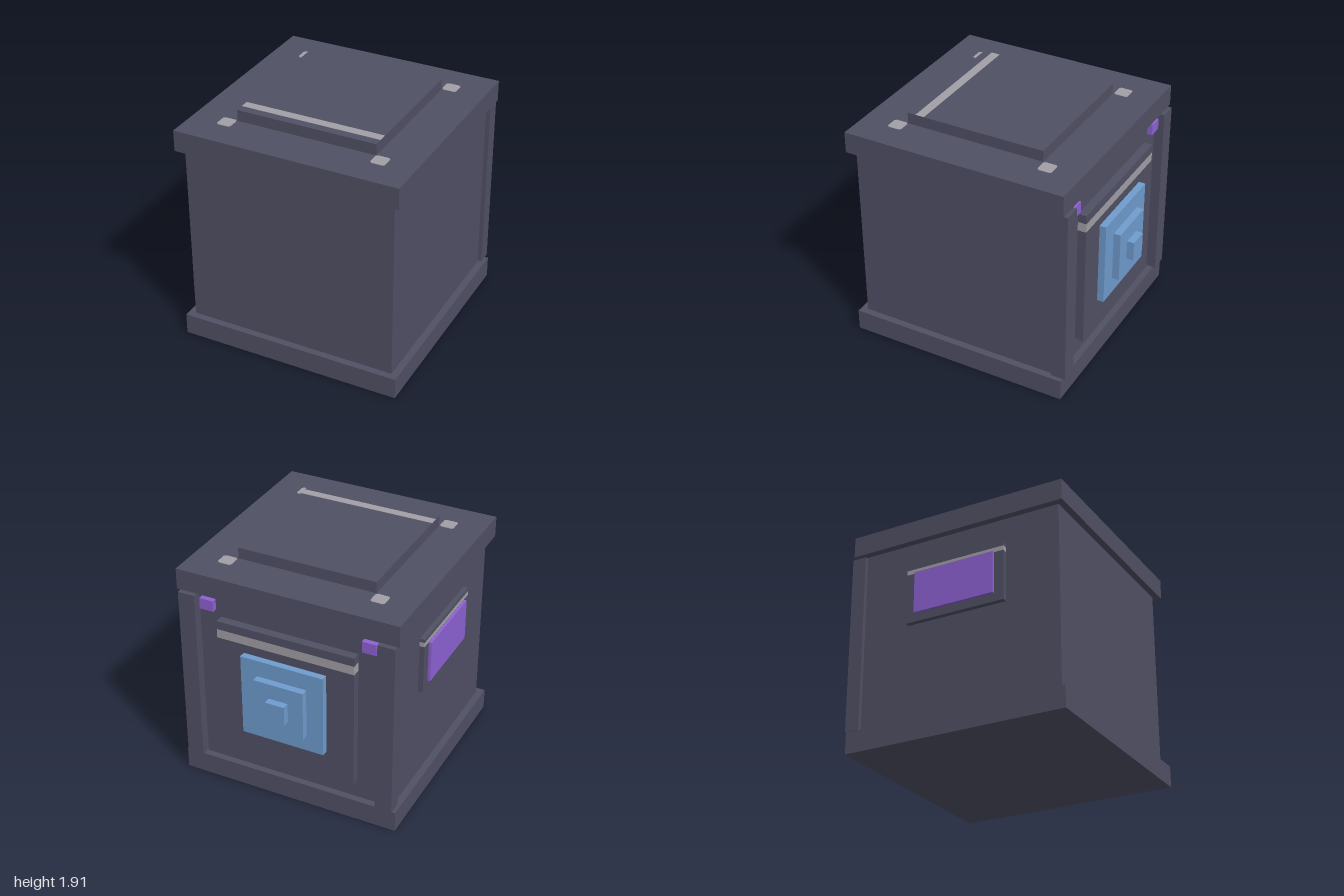
import * as THREE from 'three';

const mat = (name, color) => {
  const m = new THREE.MeshStandardMaterial({ color });
  m.name = name;
  return m;
};

export function createModel() {
  const group = new THREE.Group();
  const slate = mat('slate', 0x505065);
  const grey = mat('grey', 0xa29fa6);
  const blue = mat('blue', 0x6f9cce);
  const purple = mat('purple', 0x8e62d4);

  // Box given by its extents along each axis
  const box = (name, material, [x0, x1], [y0, y1], [z0, z1]) => {
    const mesh = new THREE.Mesh(new THREE.BoxGeometry(x1 - x0, y1 - y0, z1 - z0), material);
    mesh.position.set((x0 + x1) / 2, (y0 + y1) / 2, (z0 + z1) / 2);
    mesh.name = name;
    group.add(mesh);
  };

  // Main casing
  box('base', slate, [-0.908, 0.908], [0, 0.172], [-0.817, 1]);
  box('body', slate, [-0.852, 0.852], [0.172, 1.65], [-0.763, 0.945]);
  box('lid', slate, [-0.908, 0.908], [1.65, 1.82], [-0.817, 1]);

  // Raised top panel with a stripe on its upper face
  box('topPanel', slate, [-0.565, 0.57], [1.82, 1.91], [-0.477, 0.66]);
  box('topStripe', grey, [-0.565, 0.57], [1.908, 1.912], [0.52, 0.592]);

  // Small pads with clipped corners on the lid
  const h = 0.057, c = 0.043;
  const padShape = new THREE.Shape([
    [-c, -h], [c, -h], [h, -c], [h, c], [c, h], [-c, h], [-h, c], [-h, -c],
  ].map(([x, y]) => new THREE.Vector2(x, y)));
  const padGeometry = new THREE.ExtrudeGeometry(padShape, { depth: 0.004, bevelEnabled: false });
  padGeometry.rotateX(-Math.PI / 2);
  for (const x of [-0.625, 0.627]) for (const z of [-0.541, 0.715]) {
    const pad = new THREE.Mesh(padGeometry, grey);
    pad.name = 'lidPad';
    pad.position.set(x, 1.82, z);
    group.add(pad);
  }

  // Rear corner posts and the clips beside them
  for (const s of [-1, 1]) {
    const span = (a, b) => (s > 0 ? [a, b] : [-b, -a]);
    box('rearPost', slate, span(0.747, 0.886), [0.185, 1.64], [-0.842, -0.725]);
    box('rearClip', purple, span(0.61, 0.725), [1.52, 1.61], [-0.805, -0.76]);
  }

  // Rear panel, in bands so the stripe wraps its edges
  const rearX = [-0.565, 0.57], rearZ = [-0.832, -0.76];
  box('rearPanelLower', slate, rearX, [0.33, 1.325], rearZ);
  box('rearStripe', grey, rearX, [1.325, 1.398], rearZ);
  box('rearPanelUpper', slate, rearX, [1.398, 1.467], rearZ);

  // Stepped square nozzle on the rear panel
  box('nozzleBase', blue, [-0.34, 0.345], [0.57, 1.253], [-0.886, -0.83]);
  box('nozzleMiddle', blue, [-0.202, 0.207], [0.707, 1.117], [-0.943, -0.886]);
  box('nozzleTip', blue, [-0.077, 0.082], [0.83, 0.99], [-1, -0.943]);

  // Side panel with wrapping stripe and screen
  const sideX = [-0.892, -0.85], sideZ = [-0.33, 0.505];
  box('sidePanelLower', slate, sideX, [0.96, 1.368], sideZ);
  box('sideStripe', grey, sideX, [1.368, 1.405], sideZ);
  box('sidePanelUpper', slate, sideX, [1.405, 1.433], sideZ);
  box('sideScreen', purple, [-0.915, -0.892], [1.027, 1.366], [-0.25, 0.428]);

  return group;
}
